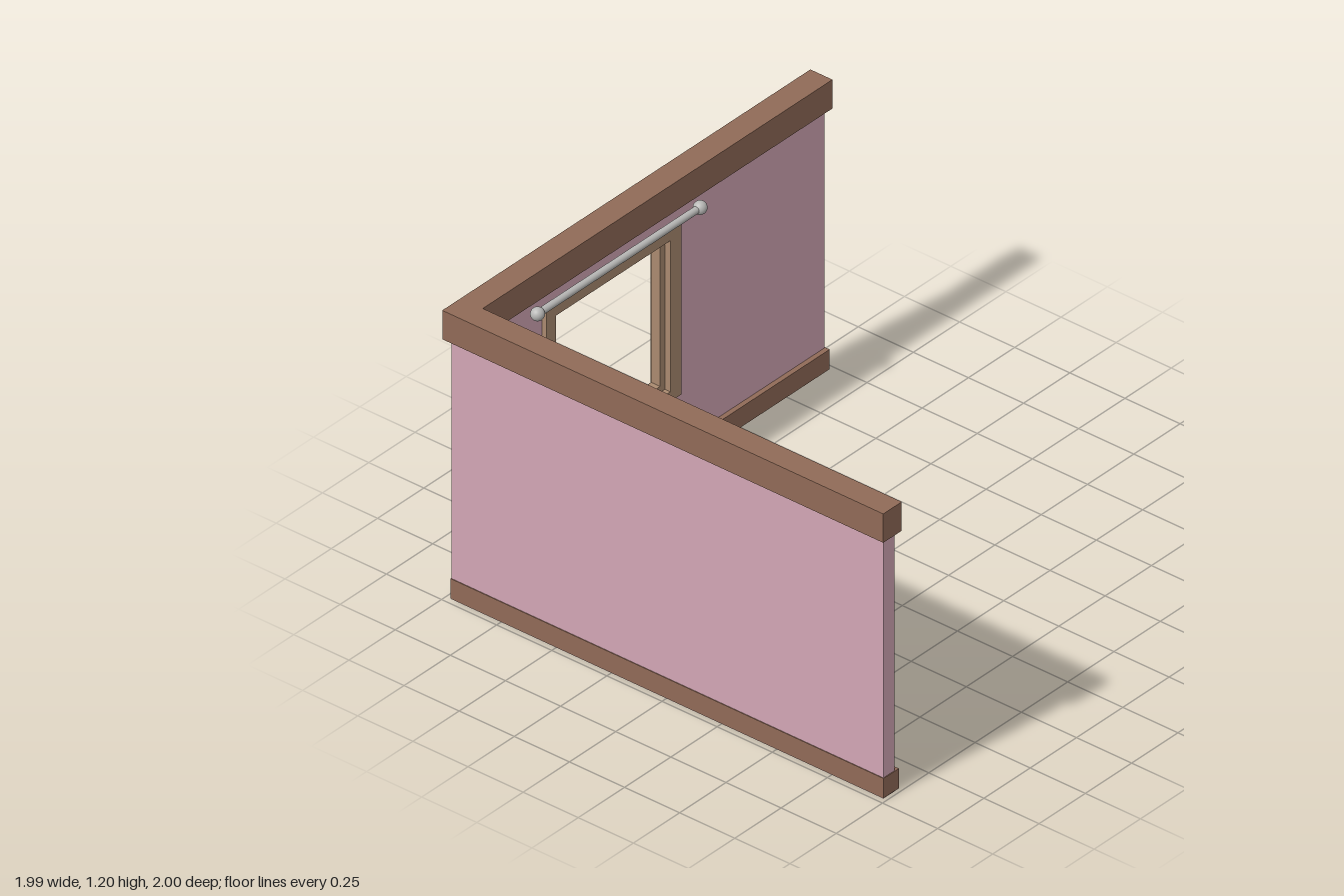
import * as THREE from 'three';

const mat = (name, color) => Object.assign(new THREE.MeshStandardMaterial({ color }), { name });

export function createModel() {
  const root = new THREE.Group();
  root.name = 'roomCorner';
  const wallPink = mat('wallPink', 0xd2a6b5);
  const trimBrown = mat('trimBrown', 0x906a57);
  const frameTan = mat('frameTan', 0xaa8a70);
  const rodGrey = mat('rodGrey', 0xb8b8b6);

  const add = (name, geometry, material, x = 0, y = 0, z = 0) => {
    const mesh = new THREE.Mesh(geometry, material);
    mesh.name = name;
    mesh.position.set(x, y, z);
    root.add(mesh);
    return mesh;
  };

  const rectPoints = (x0, y0, x1, y1) =>
    [[x0, y0], [x1, y0], [x1, y1], [x0, y1]].map(([x, y]) => new THREE.Vector2(x, y));

  // Upright panel with a rectangular opening, spanning z0 to z1
  const panel = (outer, hole, z0, z1) => {
    const shape = new THREE.Shape(rectPoints(...outer));
    shape.holes.push(new THREE.Path(rectPoints(...hole).reverse()));
    return new THREE.ExtrudeGeometry(shape, { depth: z1 - z0, bevelEnabled: false }).translate(0, 0, z0);
  };

  // L-shaped moulding following both walls
  const moulding = (x0, x1, z0, z1, innerX, innerZ, y0, y1) => {
    const plan = [[x0, z1], [innerX, z1], [innerX, innerZ], [x1, innerZ], [x1, z0], [x0, z0]];
    const shape = new THREE.Shape(plan.map(([x, z]) => new THREE.Vector2(x, -z)));
    return new THREE.ExtrudeGeometry(shape, { depth: y1 - y0, bevelEnabled: false })
      .rotateX(-Math.PI / 2).translate(0, y0, 0);
  };

  // Walls
  const opening = [-0.51, 0.33, 0.125, 0.98];
  add('backWall', panel([-0.976, 0, 0.974, 1.15], opening, -0.974, -0.92), wallPink);
  add('sideWall', new THREE.BoxGeometry(0.061, 1.15, 1.904), wallPink, -0.9455, 0.575, 0.032);

  // Mouldings
  add('topMoulding', moulding(-0.996, 0.992, -1, 1, -0.896, -0.9, 1.08, 1.2), trimBrown);
  add('baseboard', moulding(-0.979, 0.977, -0.977, 0.987, -0.896, -0.9, 0.004, 0.086), trimBrown);

  // Window: a casing through the wall and a recessed inner sash
  add('windowCasing', panel([-0.553, 0.302, 0.177, 1.01], [-0.5, 0.343, 0.117, 0.971], -0.99, -0.9), frameTan);
  add('windowSash', panel([-0.505, 0.338, 0.122, 0.976], [-0.474, 0.368, 0.091, 0.947], -0.965, -0.925), frameTan);

  // Curtain rod with ball ends
  const rodY = 1.047, rodZ = -0.882;
  add('curtainRod', new THREE.CylinderGeometry(0.014, 0.014, 0.88, 24), rodGrey, -0.183, rodY, rodZ)
    .rotation.z = Math.PI / 2;
  for (const x of [-0.622, 0.256]) {
    add('rodFinial', new THREE.SphereGeometry(0.026, 24, 16), rodGrey, x, rodY, rodZ);
  }

  return root;
}
